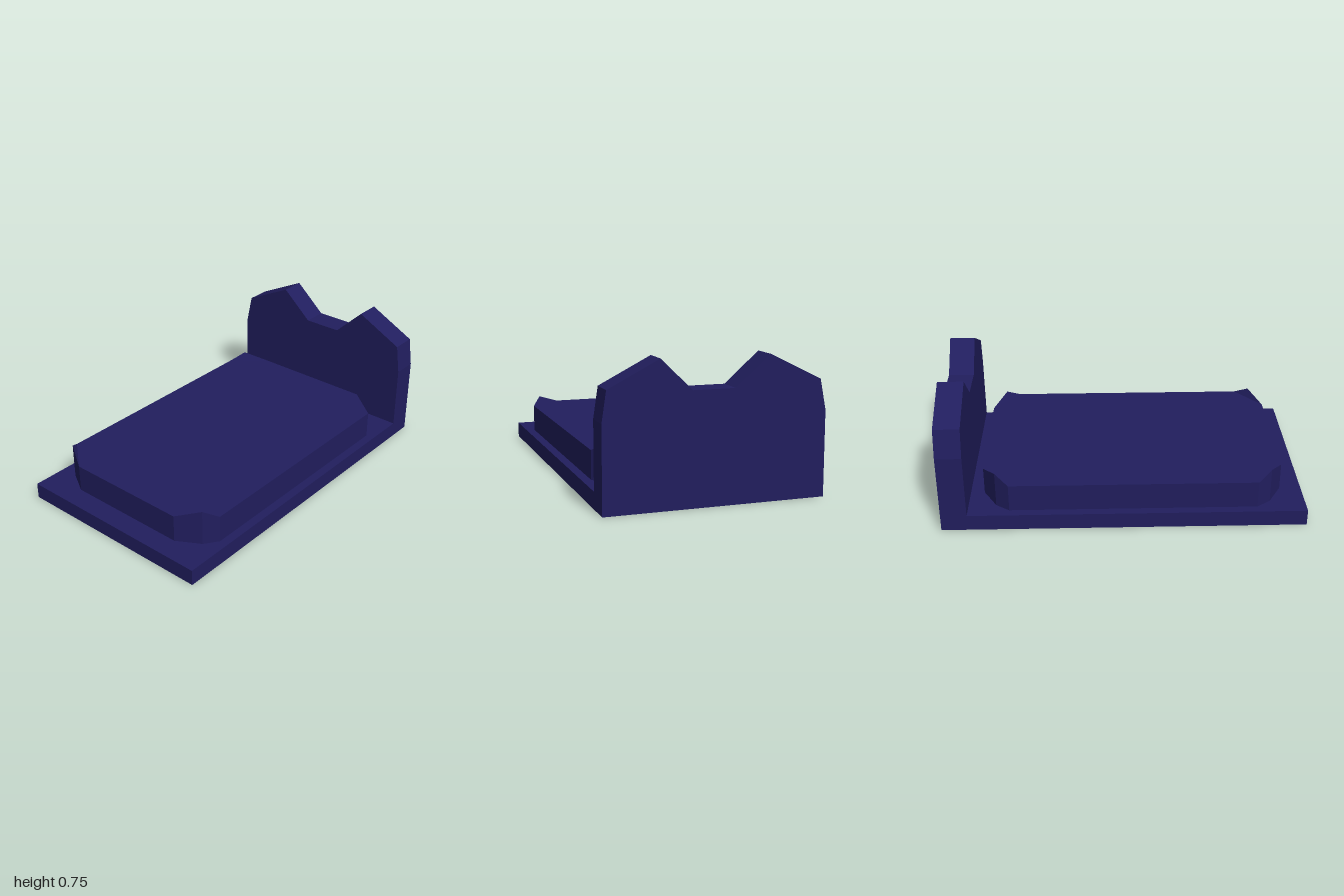
import * as THREE from 'three';

const material = new THREE.MeshStandardMaterial({ color: 0x211e5e, flatShading: true });

function addMesh(group, name, geometry) {
  const mesh = new THREE.Mesh(geometry, material);
  mesh.name = name;
  group.add(mesh);
  return mesh;
}

// Mattress slab: cut corners whose middle points rise to a small peak
function mattressGeometry(bottom, top, peak, centreX) {
  const corner = [[0.83, 0.355], [0.755, 0.485], [0.68, 0.538]];
  const ring = [];
  for (const [sx, sz] of [[1, 1], [-1, 1], [-1, -1], [1, -1]]) {
    const points = sx * sz > 0 ? corner : [...corner].reverse();
    points.forEach(([x, z], k) => ring.push({ x: centreX + sx * x, z: sz * z, y: k === 1 ? peak : top }));
  }
  const positions = [];
  const low = (p) => [p.x, bottom, p.z];
  const high = (p) => [p.x, p.y, p.z];
  const tri = (a, b, c) => positions.push(...a, ...b, ...c);

  // side walls and underside
  ring.forEach((p, i) => {
    const q = ring[(i + 1) % ring.length];
    tri(low(p), high(p), high(q));
    tri(low(p), high(q), low(q));
    tri([centreX, bottom, 0], low(p), low(q));
  });
  // raised corner flaps
  for (let i = 0; i < ring.length; i += 3) tri(high(ring[i]), high(ring[i + 2]), high(ring[i + 1]));
  // flat sleeping surface
  const flat = ring.filter((p, i) => i % 3 !== 1);
  flat.forEach((p, i) => tri([centreX, top, 0], high(flat[(i + 1) % flat.length]), high(p)));

  const geometry = new THREE.BufferGeometry();
  geometry.setAttribute('position', new THREE.Float32BufferAttribute(positions, 3));
  geometry.computeVertexNormals();
  return geometry;
}

export function createModel() {
  const group = new THREE.Group();
  group.name = 'bed';

  // Base board, up to the headboard
  const base = addMesh(group, 'base', new THREE.BoxGeometry(1.86, 0.09, 1.174));
  base.position.set(-0.07, 0.045, 0);

  // Mattress
  addMesh(group, 'mattress', mattressGeometry(0.09, 0.245, 0.292, -0.05));

  // Headboard with two peaks and a flat notch, profile drawn as (-z, y)
  const profile = [
    [-0.587, 0], [0.587, 0], [0.587, 0.45], [0.555, 0.61], [0.276, 0.747],
    [0.093, 0.587], [-0.13, 0.587], [-0.295, 0.747], [-0.563, 0.61], [-0.587, 0.45],
  ];
  const shape = new THREE.Shape(profile.map(([x, y]) => new THREE.Vector2(x, y)));
  const headboard = new THREE.ExtrudeGeometry(shape, { depth: 0.143, bevelEnabled: false });
  headboard.rotateY(Math.PI / 2);
  addMesh(group, 'headboard', headboard).position.x = 0.857;

  return group;
}
